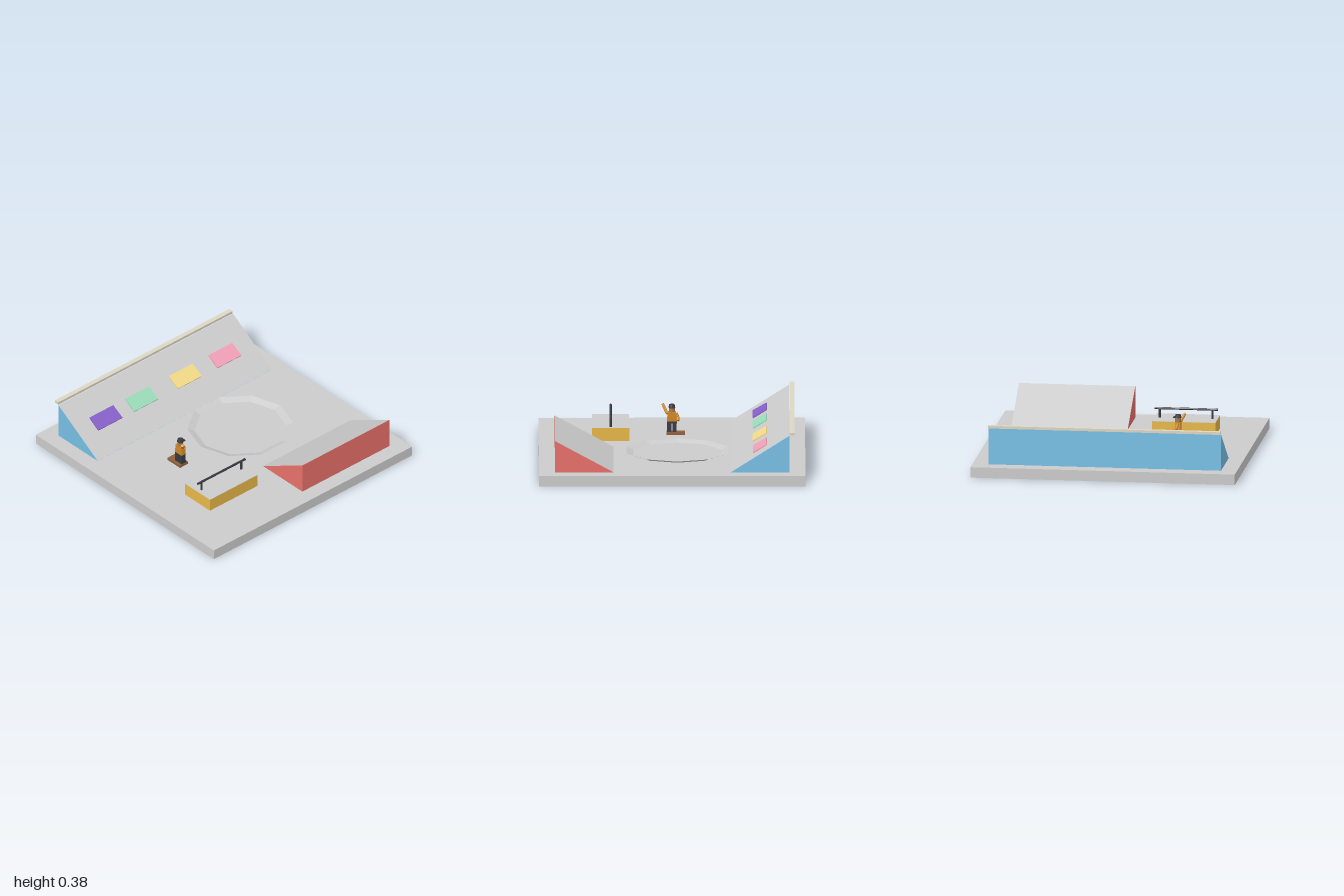
import * as THREE from 'three';

const GREY = 0xcccccc, DARK = 0x3a3b42, ORANGE = 0xd08a26;
const FLOOR = 0.08;

function mesh(name, geometry, color, x = 0, y = 0, z = 0, side = THREE.FrontSide) {
  const material = new THREE.MeshStandardMaterial({ color, flatShading: true, side });
  const m = new THREE.Mesh(geometry, material);
  m.name = name;
  m.position.set(x, y, z);
  return m;
}

// box given by its extents on each axis
function box(name, color, [x0, x1], [y0, y1], [z0, z1]) {
  return mesh(name, new THREE.BoxGeometry(x1 - x0, y1 - y0, z1 - z0), color,
    (x0 + x1) / 2, (y0 + y1) / 2, (z0 + z1) / 2);
}

// cylinder running between two points
function limb(name, color, a, b, r0, r1, sides = 8) {
  const p = new THREE.Vector3(...a), q = new THREE.Vector3(...b);
  const m = mesh(name, new THREE.CylinderGeometry(r1, r0, p.distanceTo(q), sides), color);
  m.position.copy(p).add(q).multiplyScalar(0.5);
  m.quaternion.setFromUnitVectors(new THREE.Vector3(0, 1, 0), q.sub(p).normalize());
  return m;
}

// wedge with coloured walls and a grey riding surface, rising towards zHigh
function ramp(name, color, x0, x1, zLow, zHigh, height) {
  const g = new THREE.Group();
  g.name = name;
  const run = Math.abs(zHigh - zLow), width = x1 - x0, dir = Math.sign(zHigh - zLow);
  const profile = new THREE.Shape([
    new THREE.Vector2(0, 0), new THREE.Vector2(run, 0), new THREE.Vector2(run, height)]);
  const body = new THREE.ExtrudeGeometry(profile, { depth: width, bevelEnabled: false });
  body.translate(0, 0, -width / 2);
  body.rotateY(dir > 0 ? -Math.PI / 2 : Math.PI / 2);
  const cx = (x0 + x1) / 2;
  g.add(mesh('rampWalls', body, color, cx, FLOOR, zLow));
  const slope = mesh('rampSurface', new THREE.PlaneGeometry(width, Math.hypot(run, height)), GREY,
    cx, FLOOR + height / 2 + 0.0015, (zLow + zHigh) / 2);
  slope.rotation.x = -Math.PI / 2 - dir * Math.atan2(height, run);
  g.add(slope);
  return g;
}

// small skater facing +x, one arm raised
function skater() {
  const g = new THREE.Group();
  g.name = 'skater';
  g.add(box('skateboard', 0x8f5f3c, [-0.04, 0.04], [0.08, 0.1], [-0.1, 0.04]));
  for (const s of [-1, 1]) {
    const [a, b] = [s * 0.003, s * 0.036].sort((p, q) => p - q);
    g.add(box('leg', DARK, [-0.02, 0.02], [0.1, 0.165], [a, b]));
    g.add(box('shoe', DARK, [-0.02, 0.028], [0.1, 0.115], [a, b]));
  }
  g.add(box('hips', DARK, [-0.02, 0.02], [0.165, 0.18], [-0.037, 0.037]));
  // torso narrows towards the shoulders
  const torso = new THREE.BoxGeometry(0.042, 0.072, 0.076);
  const p = torso.attributes.position;
  for (let i = 0; i < p.count; i++) if (p.getY(i) > 0) p.setZ(i, p.getZ(i) * 0.8);
  g.add(mesh('torso', torso, ORANGE, 0, 0.216, 0));
  g.add(limb('raisedUpperArm', ORANGE, [0, 0.24, 0.03], [-0.018, 0.255, 0.048], 0.012, 0.012));
  g.add(limb('raisedForearm', ORANGE, [-0.014, 0.25, 0.042], [-0.044, 0.303, 0.07], 0.012, 0.01));
  g.add(limb('loweredUpperArm', ORANGE, [0, 0.243, -0.032], [0.008, 0.21, -0.046], 0.012, 0.012));
  g.add(limb('loweredForearm', ORANGE, [0.008, 0.212, -0.046], [0.03, 0.19, -0.046], 0.011, 0.01));
  g.add(mesh('head', new THREE.CylinderGeometry(0.022, 0.022, 0.036, 12), 0xb07a4a, 0, 0.27, 0));
  g.add(mesh('cap', new THREE.CylinderGeometry(0.02, 0.026, 0.024, 12), DARK, 0, 0.297, 0));
  g.add(box('capBrim', DARK, [0.01, 0.036], [0.285, 0.29], [-0.02, 0.02]));
  g.position.set(-0.44, 0, 0);
  return g;
}

export function createModel() {
  const model = new THREE.Group();
  model.name = 'skatePark';
  model.add(box('basePlate', GREY, [-1, 1], [0, FLOOR], [-1, 1]));

  // ramps and the coping behind the big one
  model.add(ramp('backRamp', 0x78c0e6, -0.88, 0.88, -0.44, -0.88, 0.28));
  model.add(ramp('frontRamp', 0xe8706a, 0, 0.88, 0.44, 0.88, 0.24));
  model.add(box('coping', 0xdcd6c4, [-0.88, 0.88], [0.364, 0.384], [-0.92, -0.882]));

  // coloured panels lying on the big ramp
  [[-0.6, 0x8660c8], [-0.24, 0x9adcb8], [0.2, 0xf2da88], [0.6, 0xf0a0b8]].forEach(([x, color]) => {
    const panel = mesh('rampPanel', new THREE.BoxGeometry(0.24, 0.01, 0.12), color, x, 0.226, -0.66);
    panel.rotation.x = Math.PI / 6;
    model.add(panel);
  });

  // grind box with rail
  model.add(box('grindBox', 0xe8b848, [-0.68, -0.2], [FLOOR, 0.179], [0.32, 0.6]));
  model.add(box('grindBoxTop', GREY, [-0.68, -0.2], [0.179, 0.181], [0.32, 0.6]));
  model.add(limb('rail', DARK, [-0.68, 0.252, 0.46], [-0.2, 0.252, 0.46], 0.009, 0.009, 6));
  for (const x of [-0.64, -0.24]) {
    model.add(limb('railPost', DARK, [x, 0.18, 0.46], [x, 0.25, 0.46], 0.009, 0.009, 8));
  }

  // shallow ten-sided bowl
  const bowl = new THREE.SphereGeometry(0.4, 10, 3, 0, Math.PI * 2, Math.PI / 2, Math.PI / 2);
  bowl.scale(1, 0.1, 1);
  model.add(mesh('bowl', bowl, GREY, 0.2, 0.1, -0.04, THREE.DoubleSide));

  model.add(skater());
  return model;
}
